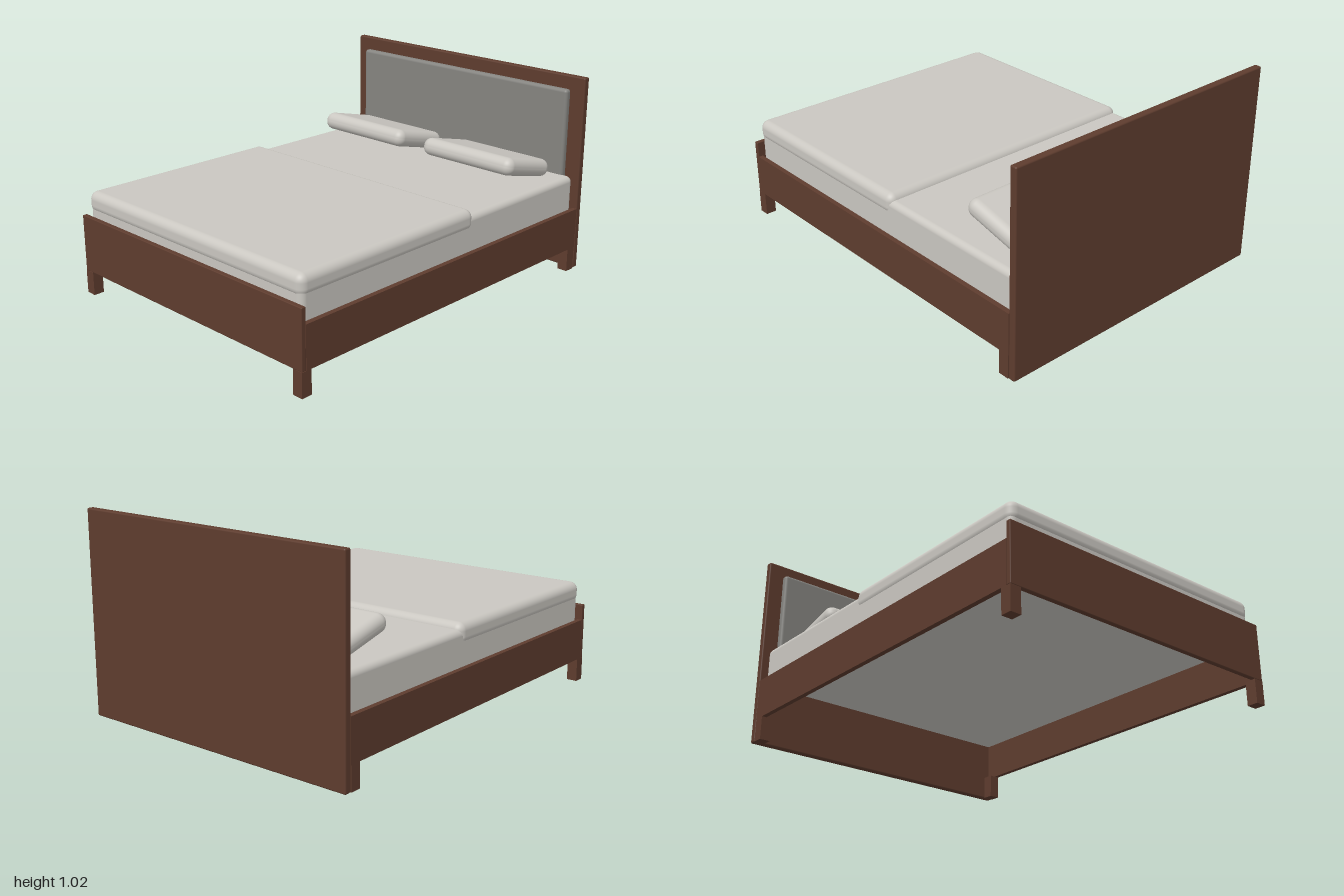
import * as THREE from 'three';
import { RoundedBoxGeometry } from 'three/addons/geometries/RoundedBoxGeometry.js';

const wood = new THREE.MeshStandardMaterial({ name: 'dark wood', color: 0x5e3c2e });
const linen = new THREE.MeshStandardMaterial({ name: 'pale linen', color: 0xcac7c1 });
const upholstery = new THREE.MeshStandardMaterial({ name: 'grey upholstery', color: 0x858480 });

// Box given by its lower and upper corners; radius rounds its edges.
function block(name, material, [x0, y0, z0], [x1, y1, z1], radius = 0) {
  const size = [x1 - x0, y1 - y0, z1 - z0];
  const geometry = radius
    ? new RoundedBoxGeometry(...size, 4, radius)
    : new THREE.BoxGeometry(...size);
  const mesh = new THREE.Mesh(geometry, material);
  mesh.name = name;
  mesh.position.set((x0 + x1) / 2, (y0 + y1) / 2, (z0 + z1) / 2);
  return mesh;
}

export function createModel() {
  const bed = new THREE.Group();
  bed.name = 'bed';

  // Headboard with padded panel, and footboard
  bed.add(
    block('headboard', wood, [-0.775, 0, -1], [0.775, 1.02, -0.963], 0.008),
    block('headboardPanel', upholstery, [-0.697, 0.42, -0.965], [0.697, 0.953, -0.923], 0.016),
    block('footboard', wood, [-0.775, 0.12, 0.975], [0.775, 0.41, 1], 0.004)
  );

  // Bedding
  bed.add(
    block('mattress', linen, [-0.747, 0.3, -0.955], [0.747, 0.505, 0.972], 0.03),
    block('duvet', linen, [-0.752, 0.428, -0.14], [0.752, 0.535, 0.978], 0.04)
  );

  // Mirrored side rails, legs and pillows
  for (const side of [-1, 1]) {
    const label = side > 0 ? 'left' : 'right';
    const rail = block(label + 'Rail', wood, [-0.0125, 0.12, -0.963], [0.0125, 0.33, 0.975]);
    rail.position.x = side * 0.7625;
    bed.add(rail);

    for (const [end, z] of [['Front', 0.9725], ['Back', -0.9325]]) {
      const leg = block(label + end + 'Leg', wood, [-0.0275, 0, z - 0.0275], [0.0275, 0.12, z + 0.0275]);
      leg.position.x = side * 0.7475;
      bed.add(leg);
    }

    const pillow = new THREE.Mesh(new RoundedBoxGeometry(0.575, 0.092, 0.366, 5, 0.043), linen);
    pillow.name = label + 'Pillow';
    pillow.position.set(side * 0.36, 0.576, -0.717);
    pillow.rotation.x = -0.24;
    bed.add(pillow);
  }
  return bed;
}
